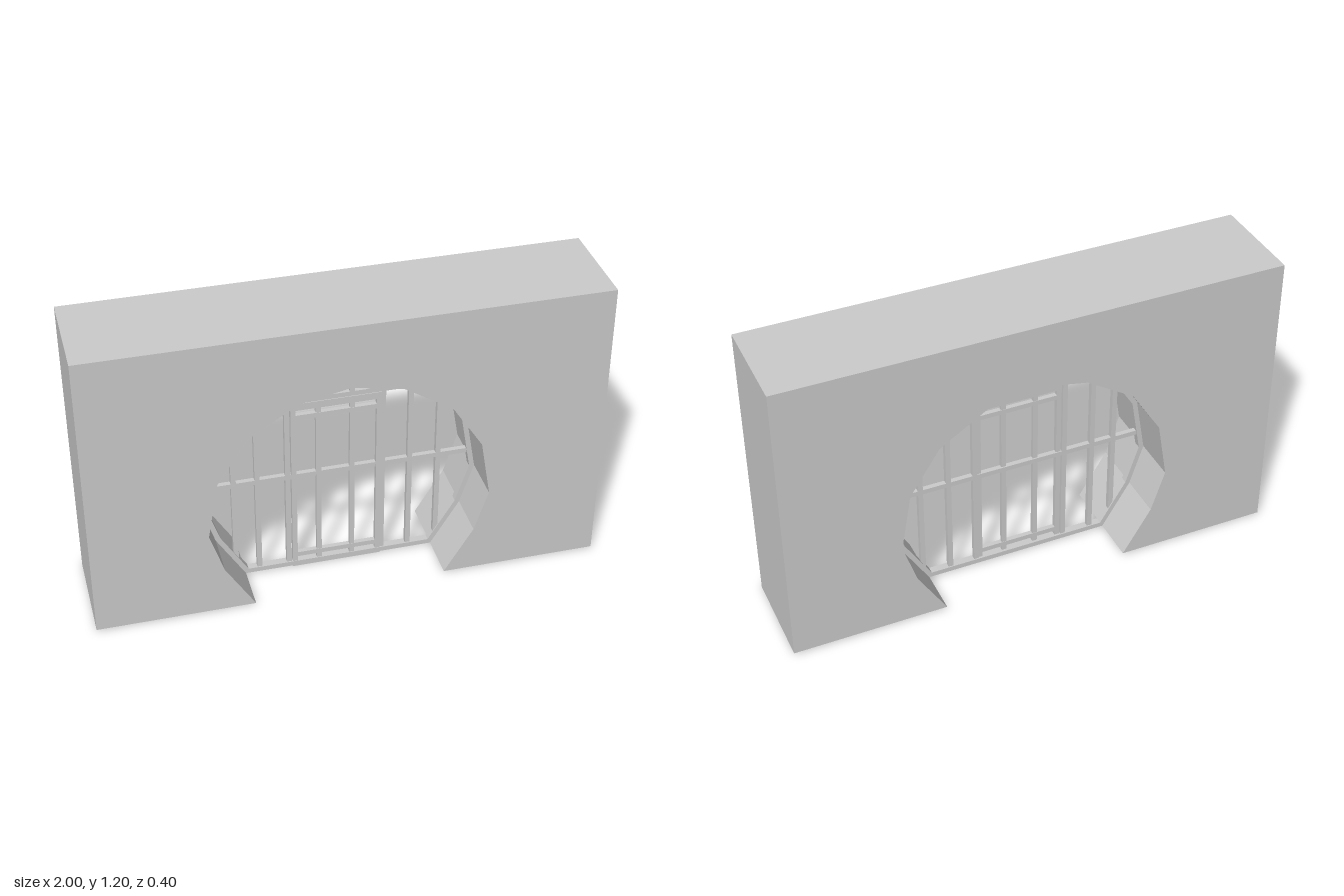
import * as THREE from 'three';

const BASE = 0.006, TOP = 1.204, WIDTH = 0.02;

// Right half of the faceted opening, from the ground up to the crown
const half = [[0.38, BASE], [0.495, 0.195], [0.55, 0.365], [0.51, 0.6], [0.39, 0.785], [0.2, 0.905], [0, 0.945]];
const opening = [...half, ...half.slice(0, -1).reverse().map(([x, y]) => [-x, y])];

// Same outline moved inward by a constant distance
function inset(points, d) {
  const n = points.length;
  return points.map((p, i) => {
    const a = points[(i + n - 1) % n], b = points[(i + 1) % n];
    const u = new THREE.Vector2(p[0] - a[0], p[1] - a[1]).normalize();
    const v = new THREE.Vector2(b[0] - p[0], b[1] - p[1]).normalize();
    const k = d / (1 + u.dot(v));
    return [p[0] - (u.y + v.y) * k, p[1] + (u.x + v.x) * k];
  });
}

const toPoints = (list) => list.map(([x, y]) => new THREE.Vector2(x, y));

// Bottom and top of the opening along a vertical line, or left to right along a horizontal one
function span(points, axis, value) {
  const hits = [];
  points.forEach((p, i) => {
    const q = points[(i + 1) % points.length];
    if ((p[axis] - value) * (q[axis] - value) >= 0) return;
    const t = (value - p[axis]) / (q[axis] - p[axis]);
    hits.push(p[1 - axis] + t * (q[1 - axis] - p[1 - axis]));
  });
  return [Math.min(...hits), Math.max(...hits)];
}

export function createModel() {
  const model = new THREE.Group();
  const material = new THREE.MeshStandardMaterial({ color: 0xcccccc, flatShading: true });

  function add(parent, name, geometry) {
    const mesh = new THREE.Mesh(geometry, material);
    mesh.name = name;
    parent.add(mesh);
    return mesh;
  }
  function bar(parent, name, x0, x1, y0, y1, depth, z = 0) {
    add(parent, name, new THREE.BoxGeometry(x1 - x0, y1 - y0, depth))
      .position.set((x0 + x1) / 2, (y0 + y1) / 2, z);
  }
  function extrude(parent, name, shape, depth) {
    const geometry = new THREE.ExtrudeGeometry(shape, { depth, bevelEnabled: false });
    add(parent, name, geometry.translate(0, 0, -depth / 2));
  }

  // Thick wall, open to the ground at the gateway
  const wall = new THREE.Shape(toPoints([
    [1, BASE], [1, TOP], [-1, TOP], [-1, BASE], ...[...opening].reverse(),
  ]));
  extrude(model, 'wall', wall, 0.4);

  // Rim and sill following the opening
  const rim = new THREE.Shape(toPoints(opening));
  rim.holes.push(new THREE.Path(toPoints(inset(opening, WIDTH)).reverse()));
  extrude(model, 'openingFrame', rim, 0.03);

  // Lattice bars trimmed to the rim
  const lattice = new THREE.Group();
  lattice.name = 'lattice';
  model.add(lattice);
  const trim = inset(opening, WIDTH / 2);
  for (const x of [-0.415, -0.322, -0.202, 0.175, 0.285, 0.4]) {
    const [y0, y1] = span(trim, 0, x);
    bar(lattice, 'latticeUpright', x - WIDTH / 2, x + WIDTH / 2, y0, y1, 0.02);
  }
  for (const y of [0.44, 0.787]) {
    const [x0, x1] = span(trim, 1, y);
    bar(lattice, 'latticeCrossbar', x0, x1, y - WIDTH / 2, y + WIDTH / 2, 0.02);
  }
  for (const x of [-0.08, 0.053]) {
    bar(lattice, 'transomUpright', x - WIDTH / 2, x + WIDTH / 2, 0.787, span(trim, 0, x)[1], 0.02);
  }

  // Door leaf: stiles, rails and two uprights
  const door = new THREE.Group();
  door.name = 'door';
  model.add(door);
  const left = -0.188, right = 0.168, depth = 0.019, z = 0.0035;
  bar(door, 'doorStile', left, left + WIDTH, 0, 0.777, depth, z);
  bar(door, 'doorStile', right - WIDTH, right, 0, 0.777, depth, z);
  for (const [y0, y1] of [[0, 0.022], [0.047, 0.067], [0.705, 0.725], [0.747, 0.777]]) {
    bar(door, 'doorRail', left + WIDTH, right - WIDTH, y0, y1, depth, z);
  }
  for (const x of [-0.08, 0.053]) {
    bar(door, 'doorUpright', x - WIDTH / 2, x + WIDTH / 2, 0.01, 0.76, depth - 0.003, z);
  }
  return model;
}
